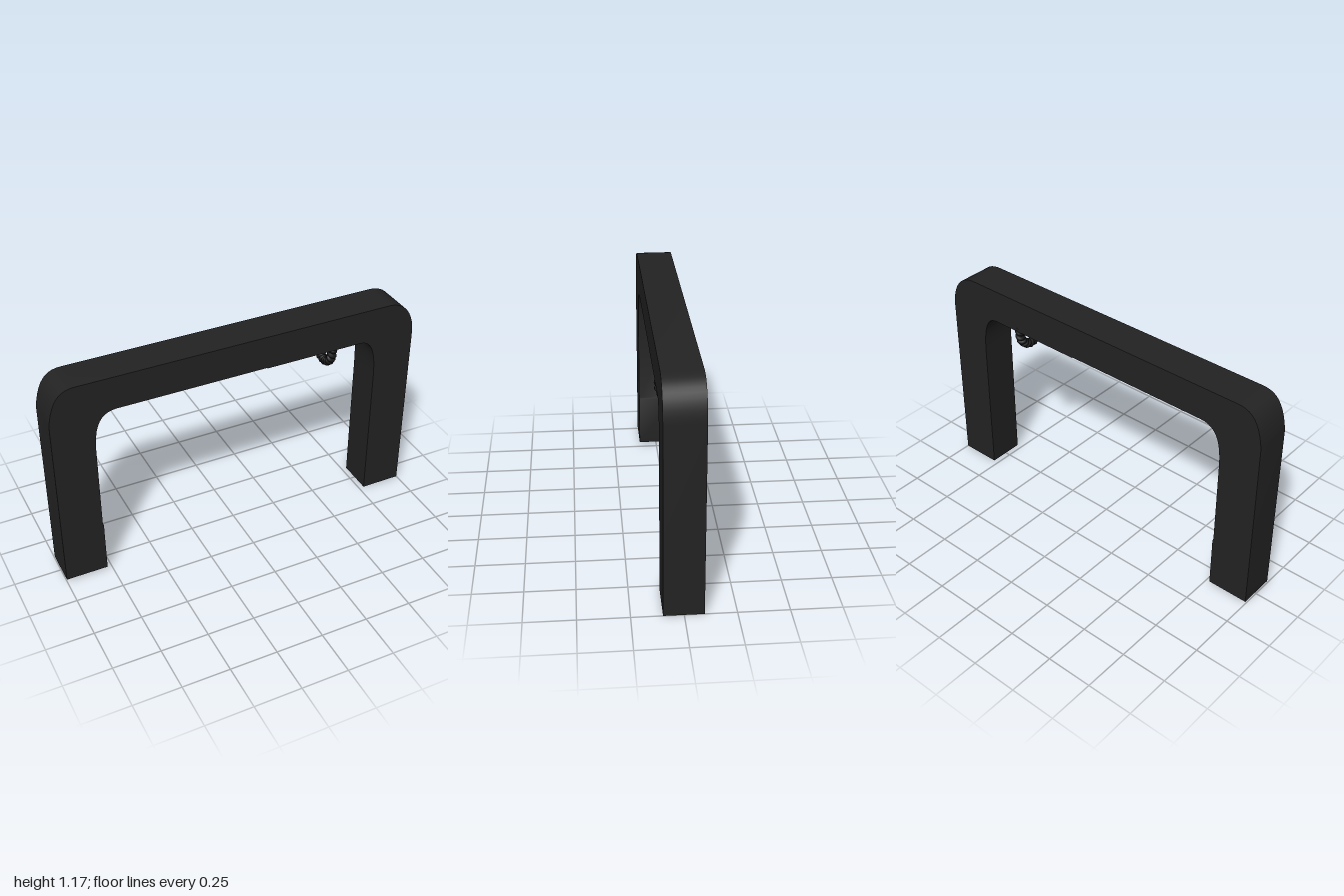
import * as THREE from 'three';
import { toCreasedNormals } from 'three/addons/utils/BufferGeometryUtils.js';

// Coil wound around an upright oval ring in the yz plane
class CoilCurve extends THREE.Curve {
  getPoint(t, target = new THREE.Vector3()) {
    const ring = t * Math.PI * 2, coil = ring * 21;
    const out = 0.014 * Math.cos(coil);
    return target.set(
      0.014 * Math.sin(coil),
      (0.091 + out) * Math.cos(ring),
      (0.078 + out) * Math.sin(ring)
    );
  }
}

export function createModel() {
  const model = new THREE.Group();
  const frameMaterial = new THREE.MeshStandardMaterial({ color: 0x232323 });
  frameMaterial.name = 'frame black';
  const coilMaterial = new THREE.MeshStandardMaterial({ color: 0x171717 });
  coilMaterial.name = 'coil black';

  // Arch: two legs and a top bar with rounded corners
  const s = new THREE.Shape();
  s.moveTo(-1, 0.015);
  s.lineTo(-0.777, 0.015);
  s.lineTo(-0.777, 0.3);
  s.lineTo(-0.782, 0.31);
  s.lineTo(-0.782, 0.78);
  s.bezierCurveTo(-0.78, 0.93, -0.745, 0.99, -0.66, 0.991);
  s.lineTo(0.14, 0.991);
  s.lineTo(0.145, 0.987);
  s.lineTo(0.68, 0.987);
  s.bezierCurveTo(0.745, 0.987, 0.776, 0.93, 0.78, 0.78);
  s.lineTo(0.78, 0);
  s.lineTo(1, 0);
  s.lineTo(1, 0.98);
  s.bezierCurveTo(0.995, 1.09, 0.94, 1.165, 0.85, 1.17);
  s.lineTo(-0.86, 1.17);
  s.bezierCurveTo(-0.94, 1.17, -0.98, 1.12, -1, 0.985);
  s.closePath();
  const arch = new THREE.ExtrudeGeometry(s, { depth: 0.195, bevelEnabled: false, curveSegments: 10 });
  arch.translate(0, 0, -0.096);
  const frame = new THREE.Mesh(toCreasedNormals(arch, 0.6), frameMaterial);
  frame.name = 'archFrame';
  model.add(frame);

  // Coiled ring hanging through the bar
  const coil = new THREE.Mesh(new THREE.TubeGeometry(new CoilCurve(), 420, 0.0125, 8, true), coilMaterial);
  coil.name = 'coiledRing';
  coil.position.set(0.528, 0.97, 0);
  model.add(coil);

  return model;
}
